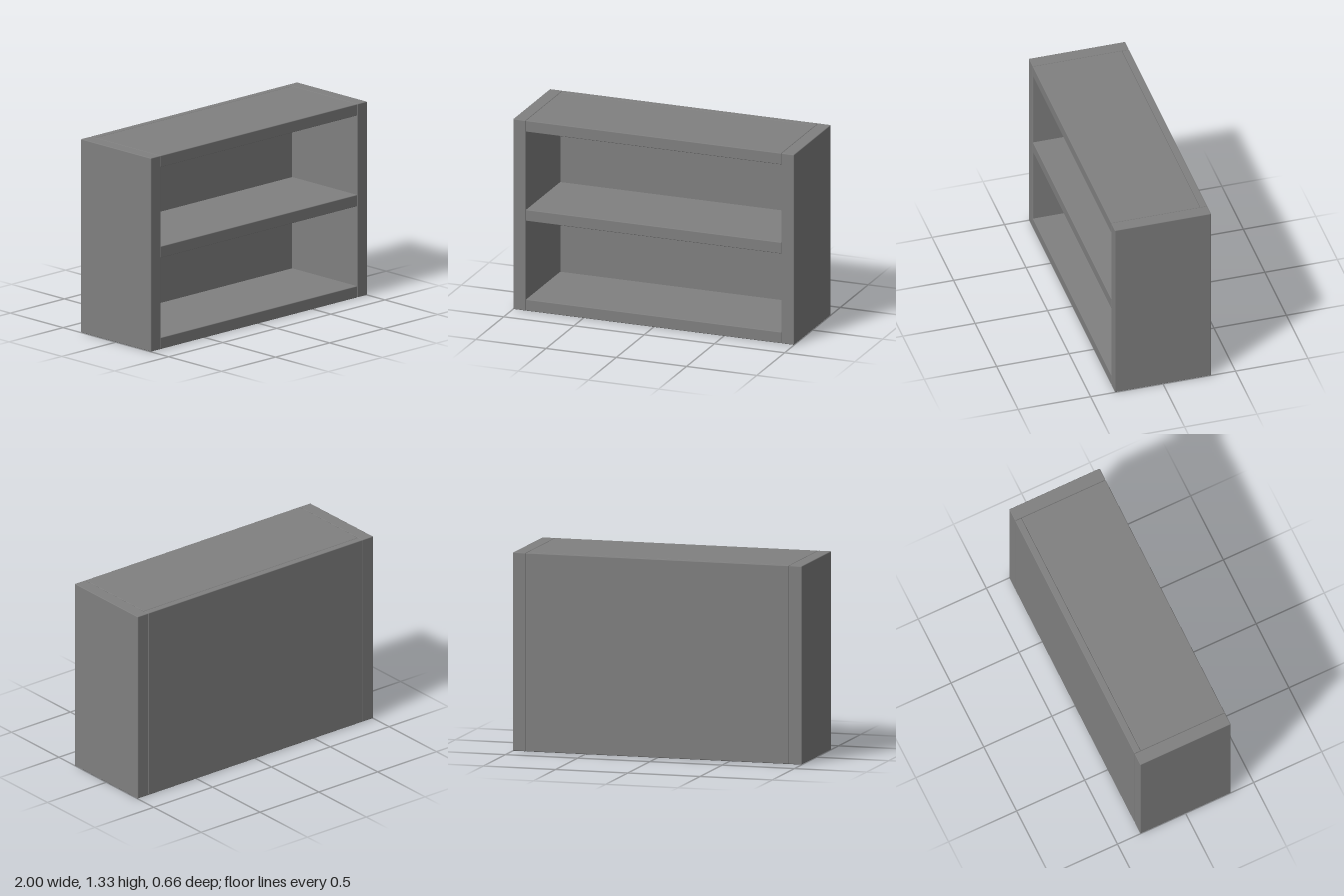
import * as THREE from 'three';
import { RoundedBoxGeometry } from 'three/addons/geometries/RoundedBoxGeometry.js';

const HEIGHT = 1.33;
const DEPTH = 0.664;
const SIDE = 0.09;   // side panel thickness
const BOARD = 0.08;  // shelf thickness
const BACK = 0.047;  // back panel thickness
const EDGE = 0.005;  // softened edge

export function createModel() {
  const group = new THREE.Group();
  const grey = new THREE.MeshStandardMaterial({ color: 0x808080 });
  grey.name = 'grey';

  // One softened board, placed by its centre
  function board(name, size, position) {
    const mesh = new THREE.Mesh(new RoundedBoxGeometry(...size, 1, EDGE), grey);
    mesh.name = name;
    mesh.position.set(...position);
    group.add(mesh);
  }

  // Upright side panels
  for (const [name, s] of [['leftSide', 1], ['rightSide', -1]]) {
    board(name, [SIDE, HEIGHT, DEPTH], [s * (1 - SIDE / 2), HEIGHT / 2, 0]);
  }

  // Back panel between the sides
  const inner = 2 - 2 * SIDE;
  board('backPanel', [inner, HEIGHT, BACK], [0, HEIGHT / 2, (BACK - DEPTH) / 2]);

  // Bottom, middle and top boards in front of the back panel
  const levels = { bottomBoard: BOARD / 2, middleShelf: 0.667, topBoard: HEIGHT - BOARD / 2 };
  for (const [name, y] of Object.entries(levels)) {
    board(name, [inner, BOARD, DEPTH - BACK], [0, y, BACK / 2]);
  }

  return group;
}
